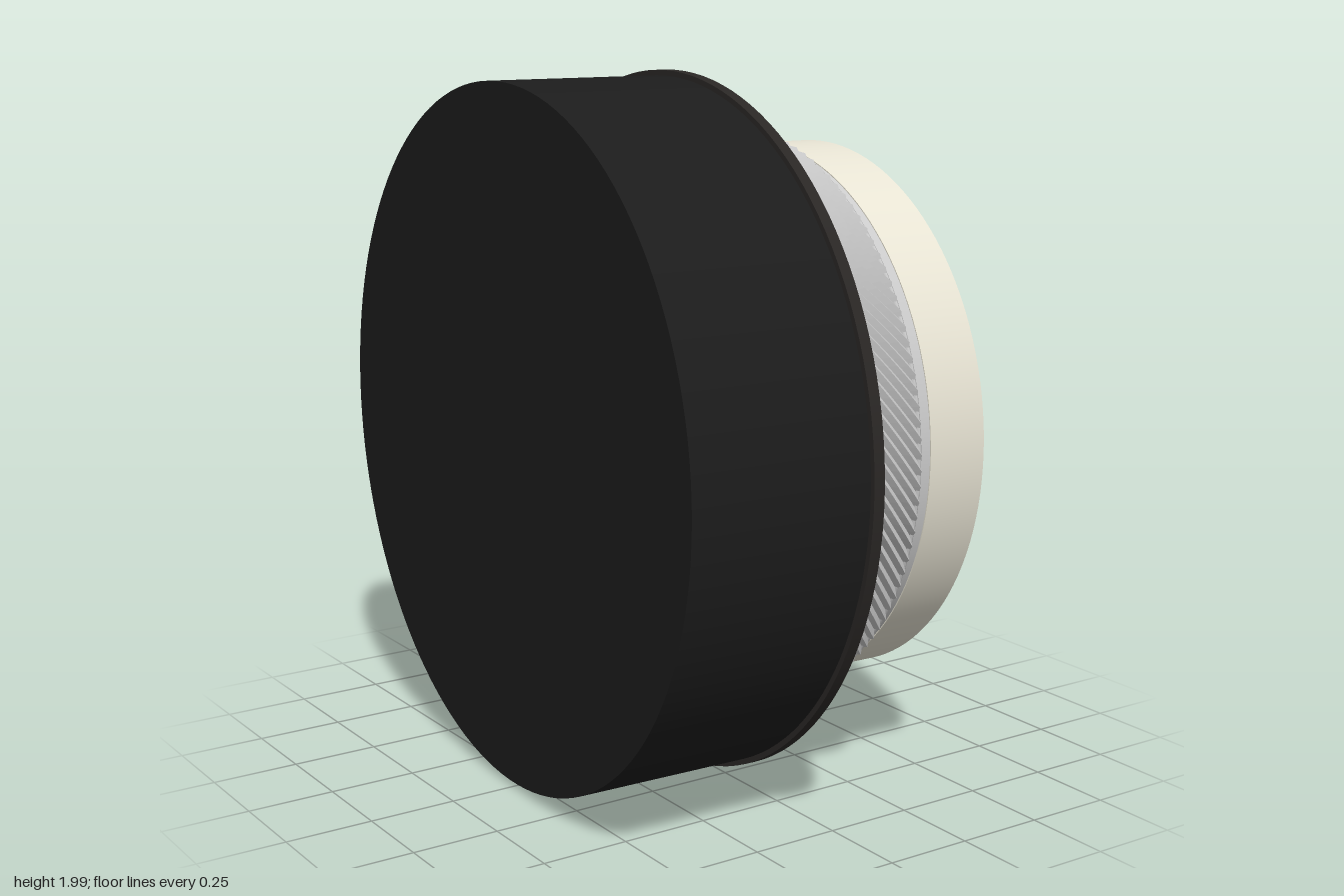
import * as THREE from 'three';

const mat = (color, extra = {}) => new THREE.MeshStandardMaterial({ color, ...extra });

// Solid disc running from x = a to x = b along the main axis
function disc(name, radius, a, b, material) {
  const geo = new THREE.CylinderGeometry(radius, radius, b - a, 128);
  geo.rotateZ(-Math.PI / 2);
  geo.translate((a + b) / 2, 0, 0);
  const mesh = new THREE.Mesh(geo, material);
  mesh.name = name;
  return mesh;
}

// Ring with raised and sunken points alternating in slanted rows
function knurledRing(radius, depth, a, b) {
  const around = 240, rows = 14, length = b - a;
  const geo = new THREE.CylinderGeometry(radius, radius, length, around, rows);
  const p = geo.attributes.position;
  for (let i = 0; i < p.count; i++) {
    const x = p.getX(i), y = p.getY(i), z = p.getZ(i);
    if (Math.hypot(x, z) < radius / 2) continue; // cap centres stay put
    const angle = Math.atan2(x, z);
    const column = Math.round(angle / (2 * Math.PI) * around) + around;
    const row = Math.round((y / length + 0.5) * rows);
    const r = radius - ((column + row) % 2) * depth;
    const twisted = angle + y * 0.15;
    p.setXYZ(i, r * Math.sin(twisted), y, r * Math.cos(twisted));
  }
  geo.rotateZ(-Math.PI / 2);
  geo.translate((a + b) / 2, 0, 0);
  geo.computeVertexNormals();
  const mesh = new THREE.Mesh(geo, mat(0xcccccc, { flatShading: true }));
  mesh.name = 'knurledRing';
  return mesh;
}

export function createModel() {
  const model = new THREE.Group();
  model.name = 'controlKnob';

  // Main axis lies along x, turned slightly towards the front
  const knob = new THREE.Group();
  knob.name = 'knobAssembly';
  knob.position.set(-0.02, 1, 0);
  knob.rotation.y = -0.042;
  model.add(knob);

  knob.add(
    disc('housing', 0.98, -0.54, -0.015, mat(0x1c1c1c)),
    disc('flange', 0.995, -0.017, 0.015, mat(0x2a2725)),
    knurledRing(0.818, 0.014, 0.013, 0.27),
    disc('collar', 0.775, 0.26, 0.33, mat(0xdddfdf)),
    disc('cap', 0.778, 0.33, 0.51, mat(0xe8e4d4)),
    disc('centreButton', 0.285, 0.505, 0.607, mat(0xe09a60))
  );

  // Thin bright lip on the outer face of the knurled ring
  const lip = new THREE.Mesh(new THREE.TorusGeometry(0.803, 0.007, 6, 128), mat(0xcccccc));
  lip.name = 'ringLip';
  lip.rotation.y = Math.PI / 2;
  lip.position.x = 0.27;
  knob.add(lip);

  return model;
}
